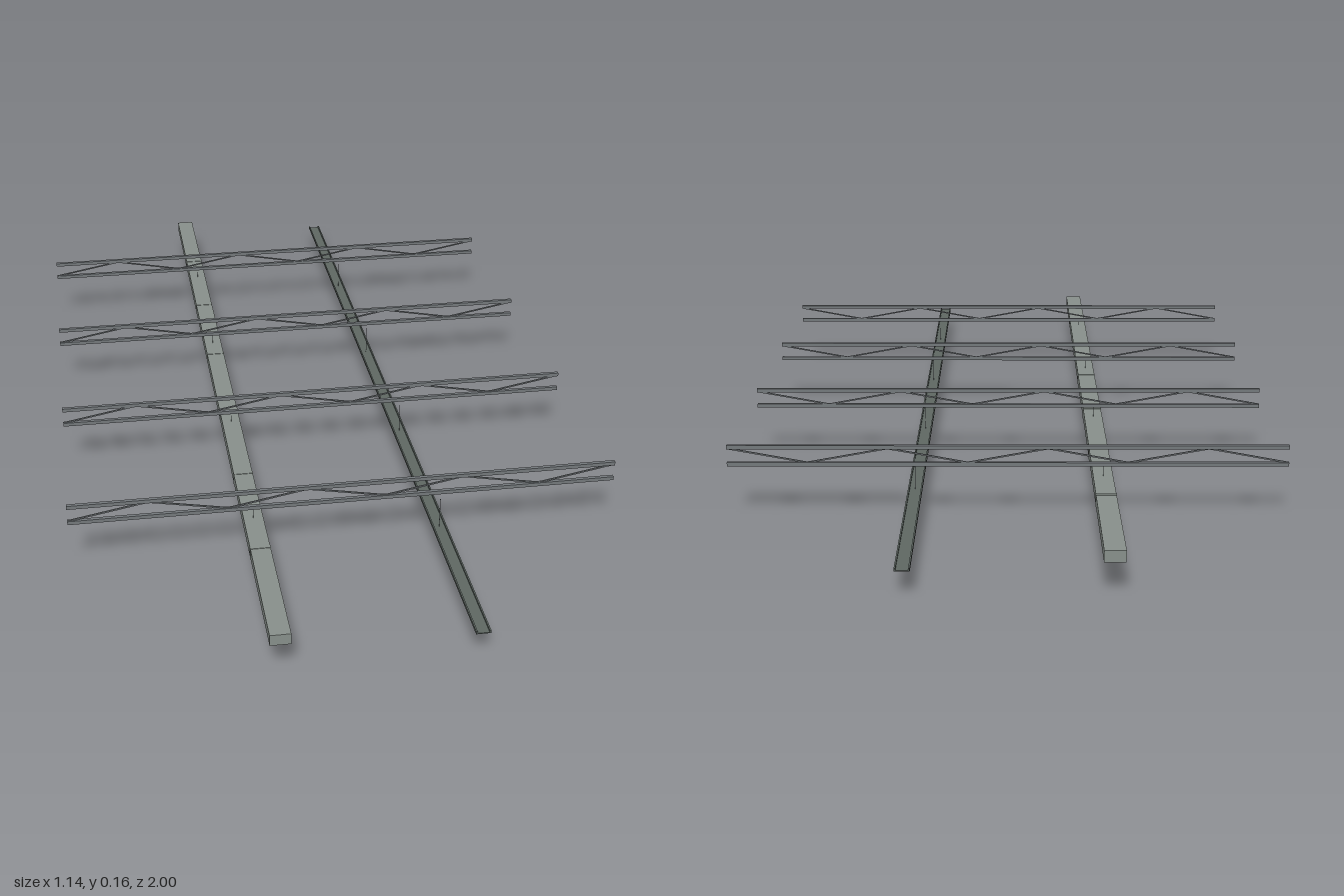
import * as THREE from 'three';

export function createModel() {
  const group = new THREE.Group();
  const material = (name, color) => {
    const m = new THREE.MeshStandardMaterial({ color });
    m.name = name;
    return m;
  };
  const steel = material('truss steel', 0x74797c);
  const ductGrey = material('duct metal', 0x88908b);
  const trayGrey = material('tray metal', 0x5f6863);
  const cableBlack = material('cable rubber', 0x2a2b2e);

  const add = (parent, name, geometry, mat, x = 0, y = 0, z = 0) => {
    const mesh = new THREE.Mesh(geometry, mat);
    mesh.name = name;
    mesh.position.set(x, y, z);
    parent.add(mesh);
    return mesh;
  };
  const box = (parent, name, mat, w, h, d, x, y, z) =>
    add(parent, name, new THREE.BoxGeometry(w, h, d), mat, x, y, z);

  const trussZ = [-0.605, -0.202, 0.202, 0.605];
  const topY = 0.153, bottomY = 0.117, half = 0.568;
  const ductX = -0.193, trayX = 0.19, trayY = 0.051;

  // Roof trusses: two chords joined by seven zigzag struts
  for (const z of trussZ) {
    const truss = new THREE.Group();
    truss.name = 'truss';
    truss.position.z = z;
    group.add(truss);
    box(truss, 'topChord', steel, half * 2, 0.008, 0.008, 0, topY, 0);
    box(truss, 'bottomChord', steel, half * 2, 0.008, 0.008, 0, bottomY, 0);
    const bays = 7, step = (half * 2) / bays, rise = 0.03;
    for (let i = 0; i < bays; i++) {
      const strut = box(truss, 'strut', steel, Math.hypot(step, rise), 0.003, 0.003,
        -half + step * (i + 0.5), (topY + bottomY) / 2, 0);
      strut.rotation.z = Math.atan2(rise, step) * (i % 2 ? -1 : 1);
    }
    // Hangers for the duct and for the cable tray
    box(group, 'ductHanger', steel, 0.001, 0.026, 0.001, ductX, 0.104, z);
    box(group, 'trayHanger', steel, 0.001, 0.066, 0.001, trayX, 0.085, z + 0.03);
  }

  // Rectangular air duct with joint collars
  box(group, 'duct', ductGrey, 0.0405, 0.023, 2, ductX, 0.08, 0);
  for (let i = 1; i < 7; i++) {
    box(group, 'ductCollar', ductGrey, 0.0415, 0.025, 0.008, ductX, 0.08, -1 + (i * 2) / 7);
  }

  // Cable tray: a flat base between two raised side rails
  box(group, 'trayBase', trayGrey, 0.026, 0.002, 2, trayX, trayY, 0);
  for (const side of [-1, 1]) {
    box(group, 'trayRail', trayGrey, 0.003, 0.006, 2, trayX + side * 0.013, trayY + 0.002, 0);
  }

  // Loose cables sagging below the tray
  for (const z of [-0.8, 0, 0.8]) {
    const points = [];
    for (let i = 0; i <= 8; i++) {
      const t = i / 4 - 1, sag = 1 - t * t;
      points.push(new THREE.Vector3(trayX + sag * 0.012, 0.05 - sag * 0.0485, z + t * 0.17));
    }
    add(group, 'saggingCable',
      new THREE.TubeGeometry(new THREE.CatmullRomCurve3(points), 8, 0.0015, 5), cableBlack);
  }

  return group;
}
